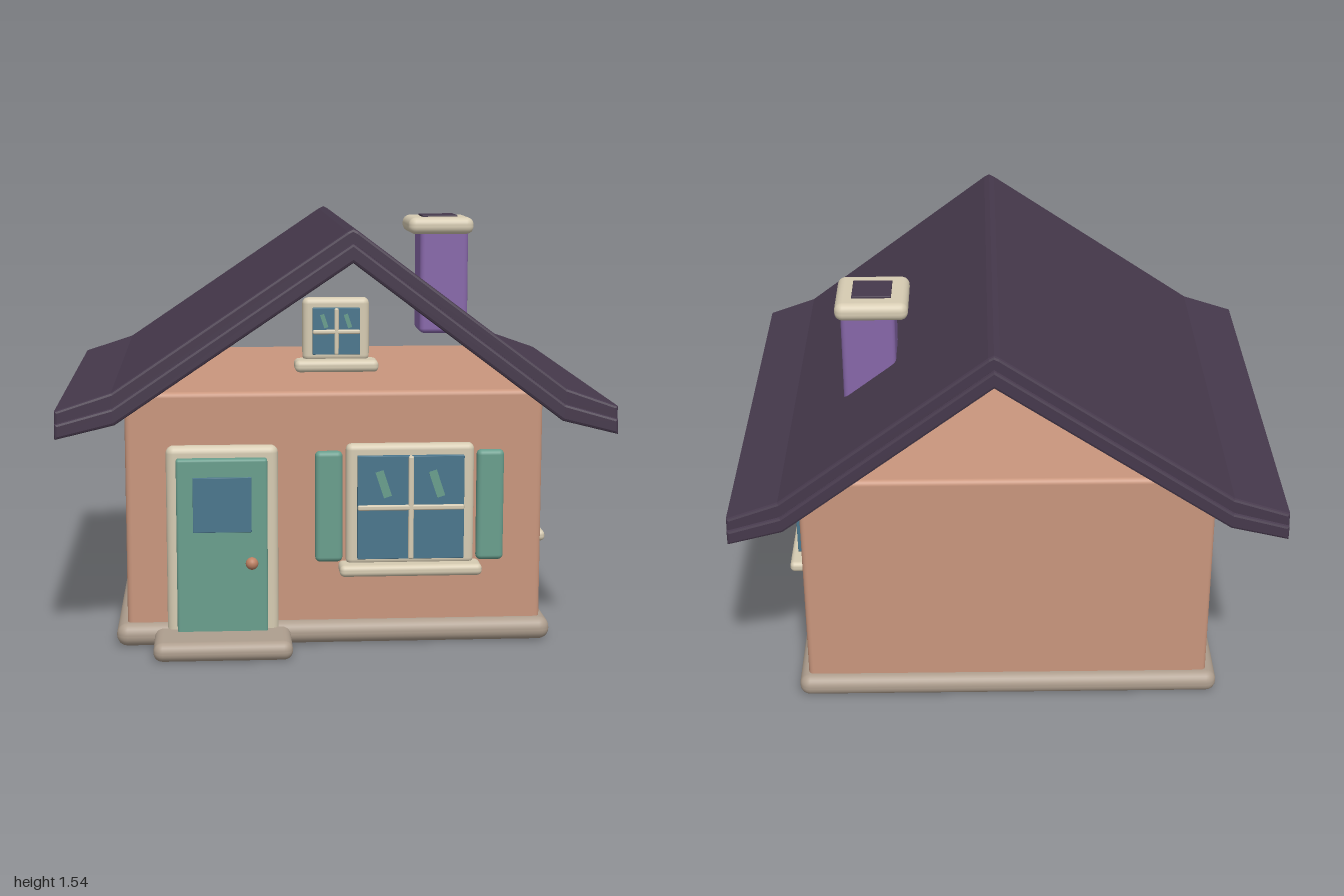
import * as THREE from 'three';
import { RoundedBoxGeometry } from 'three/addons/geometries/RoundedBoxGeometry.js';

function material(name, color) {
  const m = new THREE.MeshStandardMaterial({ color });
  m.name = name;
  return m;
}

export function createModel() {
  const house = new THREE.Group();
  house.name = 'house';

  const wall = material('terracotta wall', 0xc9967d);
  const roofMat = material('dark plum roof', 0x46394c);
  const trim = material('cream trim', 0xd6cbb2);
  const stone = material('taupe stone', 0xae9e8e);
  const green = material('sage green', 0x699e8d);
  const glass = material('blue glass', 0x4a768d);
  const purple = material('purple chimney', 0x8767a9);
  const copper = material('copper knob', 0xbd8163);

  // Rounded box given by its min and max corners
  function box(parent, name, mat, [x0, y0, z0], [x1, y1, z1], r = 0.01) {
    const geo = new RoundedBoxGeometry(x1 - x0, y1 - y0, z1 - z0, 3, r);
    const mesh = new THREE.Mesh(geo, mat);
    mesh.name = name;
    mesh.position.set((x0 + x1) / 2, (y0 + y1) / 2, (z0 + z1) / 2);
    parent.add(mesh);
    return mesh;
  }

  // Walls, plinth and doorstep
  box(house, 'walls', wall, [-0.765, 0.04, -0.69], [0.765, 0.94, 0.65], 0.02);
  box(house, 'plinth', stone, [-0.805, 0, -0.73], [0.8, 0.085, 0.69], 0.04);
  box(house, 'doorstep', stone, [-0.665, 0, 0.5], [-0.165, 0.07, 0.895], 0.033);

  // Roof: two stacked layers with flared eaves, ridge a little off centre
  const top = [[-1, 0.905], [-0.8, 0.97], [0.03, 1.53], [0.05, 1.54], [0.07, 1.53], [0.815, 0.97], [1, 0.905]];
  const middle = [[-1, 0.86], [-0.8, 0.915], [0.05, 1.49], [0.81, 0.915], [1, 0.86]];
  const bottom = [[-1, 0.805], [-0.79, 0.855], [0.05, 1.42], [0.8, 0.855], [1, 0.805]];
  function roofLayer(name, upper, lower, z0, z1) {
    const points = [...lower, ...[...upper].reverse()].map(([x, y]) => new THREE.Vector2(x, y));
    const b = 0.01;
    const geo = new THREE.ExtrudeGeometry(new THREE.Shape(points), {
      depth: z1 - z0 - 2 * b, bevelEnabled: true, bevelThickness: b,
      bevelSize: b, bevelOffset: -b, bevelSegments: 2,
    });
    geo.translate(0, 0, z0 + b);
    const mesh = new THREE.Mesh(geo, roofMat);
    mesh.name = name;
    house.add(mesh);
  }
  roofLayer('roofTop', top, middle.map(([x, y]) => [x, y - 0.012]), -0.885, 0.84);
  roofLayer('roofUnderlayer', middle, bottom, -0.895, 0.85);

  // Chimney
  const chimney = new THREE.Group();
  chimney.name = 'chimney';
  house.add(chimney);
  box(chimney, 'chimneyStack', purple, [0.405, 1.05, -0.4], [0.603, 1.5, -0.19], 0.02);
  box(chimney, 'chimneyCap', trim, [0.355, 1.457, -0.44], [0.622, 1.525, -0.16], 0.03);
  box(chimney, 'chimneyFlue', roofMat, [0.417, 1.5, -0.375], [0.561, 1.532, -0.23], 0.003);

  // Window facing +z, its back on z = 0, centred on x = 0, standing on its sill
  function makeWindow(name, w, h, border, sillOver, barY, barW, glint) {
    const g = new THREE.Group();
    g.name = name;
    const pw = w / 2 - border;
    const p0 = 0.018, p1 = h - border;
    box(g, 'frame', trim, [-w / 2, -0.01, -0.01], [w / 2, h, 0.045], 0.022);
    box(g, 'pane', glass, [-pw, p0, 0], [pw, p1, 0.068], 0.002);
    box(g, 'uprightBar', trim, [-barW / 2, p0, 0.04], [barW / 2, p1, 0.076], 0.006);
    box(g, 'crossBar', trim, [-pw, barY - barW / 2, 0.04], [pw, barY + barW / 2, 0.076], 0.006);
    box(g, 'sill', trim, [-w / 2 - sillOver, -0.043, -0.01], [w / 2 + sillOver, 0, 0.098], 0.018);
    for (const side of [-1, 1]) {
      const mesh = new THREE.Mesh(new THREE.BoxGeometry(glint * 0.3, glint, 0.004), green);
      mesh.name = 'glint';
      mesh.position.set(side * pw / 2 - glint * 0.03, barY + (p1 - barY) * 0.46, 0.069);
      mesh.rotation.z = 0.32;
      g.add(mesh);
    }
    house.add(g);
    return g;
  }
  makeWindow('frontWindow', 0.47, 0.44, 0.04, 0.026, 0.21, 0.02, 0.1).position.set(0.273, 0.31, 0.65);
  makeWindow('atticWindow', 0.24, 0.22, 0.035, 0.03, 0.1, 0.016, 0.05).position.set(0, 1.065, 0.65);
  const sideWindow = makeWindow('sideWindow', 0.434, 0.437, 0.037, 0.026, 0.21, 0.02, 0.1);
  sideWindow.position.set(0.765, 0.31, -0.019);
  sideWindow.rotation.y = Math.PI / 2;

  // Shutters
  for (const x of [-0.024, 0.57]) {
    box(house, 'shutter', green, [x - 0.05, 0.31, 0.64], [x + 0.05, 0.722, 0.685], 0.018);
  }

  // Door
  const door = new THREE.Group();
  door.name = 'door';
  house.add(door);
  box(door, 'doorFrame', trim, [-0.617, 0.04, 0.64], [-0.21, 0.75, 0.7], 0.028);
  box(door, 'doorLeaf', green, [-0.58, 0.06, 0.66], [-0.25, 0.708, 0.732], 0.01);
  box(door, 'doorPane', glass, [-0.52, 0.44, 0.73], [-0.308, 0.642, 0.739], 0.002);
  const knob = new THREE.Mesh(new THREE.SphereGeometry(0.023, 20, 14), copper);
  knob.name = 'doorKnob';
  knob.position.set(-0.308, 0.326, 0.746);
  door.add(knob);

  return house;
}
